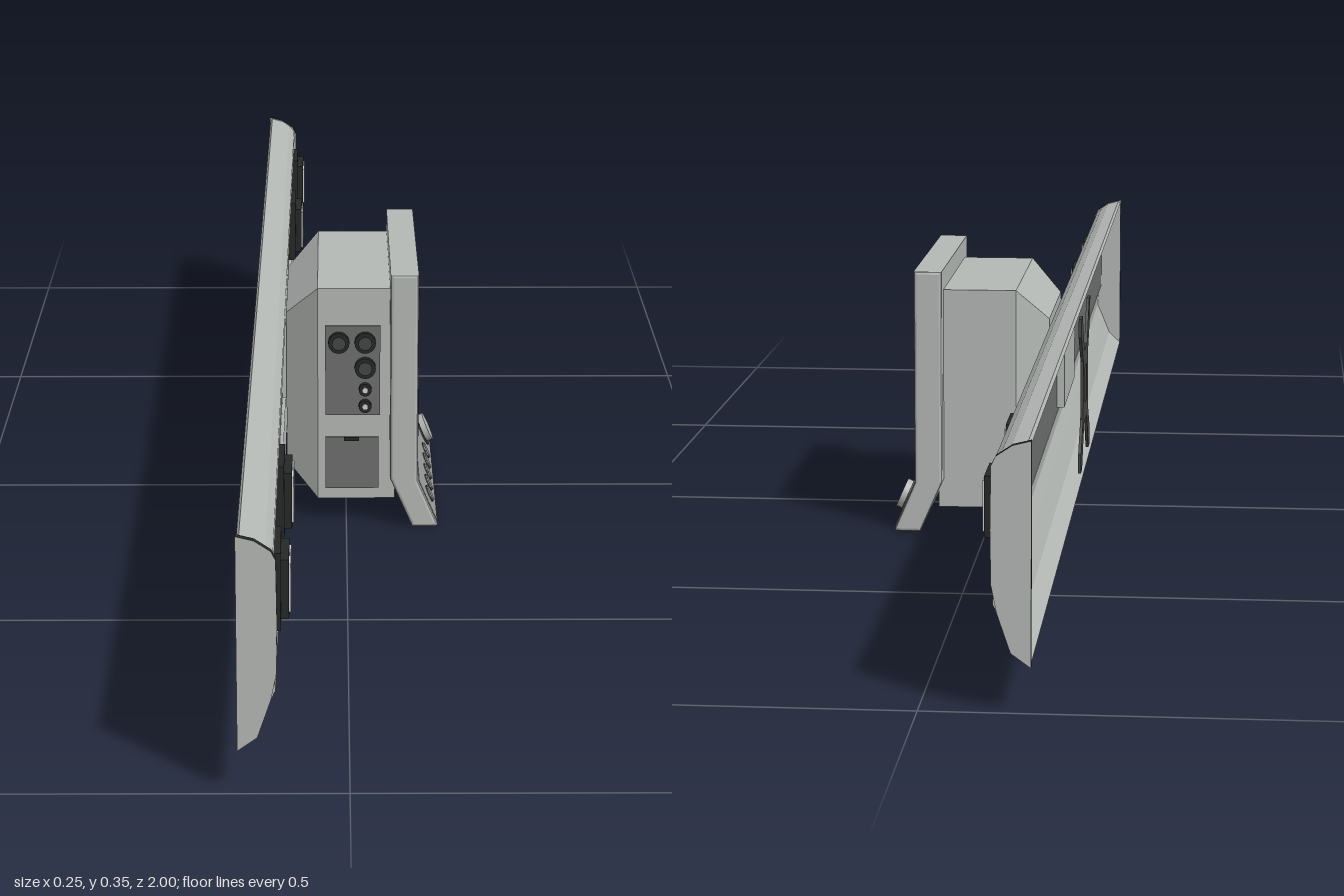
import * as THREE from 'three';

const paint = (name, color) => Object.assign(new THREE.MeshStandardMaterial({ color }), { name });

export function createModel() {
  const light = paint('light grey', 0xb4b8b5);
  const mid = paint('control panel grey', 0x989b99);
  const dark = paint('channel grey', 0x6e6f6f);
  const black = paint('black plastic', 0x262727);
  const charcoal = paint('charcoal metal', 0x444545);
  const glass = paint('screen glass', 0x202222);
  const pale = paint('pale grey', 0xd0d3d1);

  const model = new THREE.Group();
  model.name = 'railMountedMonitor';
  const group = (name, parent = model) => {
    const g = new THREE.Group();
    g.name = name;
    parent.add(g);
    return g;
  };
  const add = (parent, name, geometry, material) => {
    const m = new THREE.Mesh(geometry, material);
    m.name = name;
    parent.add(m);
    return m;
  };
  // Box given by its limits on each axis
  const box = (parent, name, [x0, x1], [y0, y1], [z0, z1], mat) => {
    const m = add(parent, name, new THREE.BoxGeometry(x1 - x0, y1 - y0, z1 - z0), mat);
    m.position.set((x0 + x1) / 2, (y0 + y1) / 2, (z0 + z1) / 2);
    return m;
  };
  const shapeOf = (pts) => new THREE.Shape(pts.map(([x, y]) => new THREE.Vector2(x, y)));
  // Profile in x and y swept from z0 to z1
  const sweep = (parent, name, pts, z0, z1, mat, bevel = 0) => {
    const g = new THREE.ExtrudeGeometry(shapeOf(pts), {
      depth: z1 - z0 - 2 * bevel, bevelEnabled: bevel > 0, bevelSize: bevel,
      bevelThickness: bevel, bevelOffset: -bevel, bevelSegments: 2,
    });
    g.translate(0, 0, z0 + bevel);
    return add(parent, name, g, mat);
  };
  // Thin sheet: the front line, then the same line moved inward
  const sheet = (parent, name, pts, dx, dy, mat) =>
    sweep(parent, name, [...pts, ...pts.map(([x, y]) => [x + dx, y + dy]).reverse()], -0.992, 0.992, mat);

  // Wall rail, open at the back
  const rail = group('wallRail');
  sheet(rail, 'railTopLip', [[-0.118, 0.295], [-0.1, 0.29], [-0.09, 0.283], [-0.082, 0.274], [-0.081, 0.268]], -0.003, -0.004, light);
  box(rail, 'railChannel', [-0.09, -0.086], [0.15, 0.274], [-0.992, 0.992], dark);
  sheet(rail, 'railLedge', [[-0.087, 0.154], [-0.082, 0.146], [-0.08, 0.116]], -0.004, -0.001, light);
  sheet(rail, 'railUnderside', [[-0.08, 0.118], [-0.088, 0.1], [-0.1, 0.07], [-0.118, 0.053]], -0.004, 0.002, light);

  // End caps with a dark rim
  const capOutline = [[-0.122, 0.297], [-0.102, 0.292], [-0.084, 0.28], [-0.079, 0.27], [-0.078, 0.2],
    [-0.079, 0.14], [-0.085, 0.11], [-0.1, 0.066], [-0.122, 0.05]];
  for (const s of [-1, 1]) {
    sweep(rail, 'endCap', capOutline, s > 0 ? 0.992 : -1, s > 0 ? 1 : -0.992, [light, black]);
  }

  // Twin-window sockets along the channel
  for (const z of [0.897, 0.615, -0.62, -0.9]) {
    const socket = group('railSocket', rail);
    socket.position.set(0, 0.21, z);
    box(socket, 'socketPlate', [-0.087, -0.075], [-0.045, 0.045], [-0.042, 0.042], black);
    box(socket, 'socketFace', [-0.075, -0.066], [-0.034, 0.034], [-0.034, 0.034], black);
    for (const s of [-1, 1]) {
      box(socket, 'socketWindow', [-0.067, -0.064], [-0.028, 0.028], [s * 0.017 - 0.013, s * 0.017 + 0.013], pale);
    }
  }

  // Mounting bracket behind the rail: a cross plate with a square hole
  const mount = group('mount');
  const quarter = [[0.03, 0.05], [0.075, 0.105], [0.1, 0.105], [0.1, 0.08], [0.055, 0.04]];
  const outline = [
    ...quarter,
    ...quarter.map(([a, b]) => [a, -b]).reverse(),
    ...quarter.map(([a, b]) => [-a, -b]),
    ...quarter.map(([a, b]) => [-a, b]).reverse(),
  ];
  const cross = shapeOf(outline);
  cross.holes.push(shapeOf([[-0.02, -0.025], [0.02, -0.025], [0.02, 0.025], [-0.02, 0.025]]));
  const bracket = add(mount, 'mountBracket',
    new THREE.ExtrudeGeometry(cross, { depth: 0.004, bevelEnabled: false }), charcoal);
  bracket.rotation.y = Math.PI / 2;
  bracket.position.set(-0.122, 0.173, -0.01);
  box(mount, 'mountPlate', [-0.1, -0.079], [0.16, 0.268], [-0.12, 0.1], light);

  // Housing: straight box with a tapered back
  const monitor = group('monitor');
  box(monitor, 'housing', [-0.038, 0.065], [0.03, 0.323], [-0.158, 0.138], light);
  const taper = new THREE.BoxGeometry(0.042, 0.293, 0.296);
  const p = taper.attributes.position;
  for (let i = 0; i < p.count; i++) {
    if (p.getX(i) < 0) p.setXYZ(i, p.getX(i), p.getY(i) * 0.71, p.getZ(i) * 0.77);
  }
  taper.computeVertexNormals();
  add(monitor, 'housingBack', taper, light).position.set(-0.059, 0.1765, -0.01);

  // Bezel with an outward sloping chin, and the screen
  sweep(monitor, 'bezel', [[0.058, 0.35], [0.095, 0.35], [0.095, 0.066], [0.122, 0.003], [0.121, 0],
    [0.088, 0], [0.058, 0.068]], -0.18, 0.17, light, 0.004);
  box(monitor, 'screenSurround', [0.093, 0.0955], [0.103, 0.324], [-0.151, 0.134], charcoal);
  box(monitor, 'screen', [0.093, 0.0965], [0.107, 0.32], [-0.147, 0.13], glass);

  // Control strip on the chin
  const controls = group('controls', monitor);
  controls.position.set(0.1085, 0.0345, -0.005);
  controls.rotation.z = 0.41;
  box(controls, 'controlStrip', [-0.002, 0.001], [-0.031, 0.03], [-0.168, 0.168], mid);
  const disc = (parent, name, axis, r, h, x, y, z, mat) => {
    const g = new THREE.CylinderGeometry(r, r, h, 24);
    if (axis === 'x') g.rotateZ(-Math.PI / 2);
    else g.rotateX(Math.PI / 2);
    add(parent, name, g, mat).position.set(x, y, z);
  };
  for (let i = 0; i < 5; i++) {
    const z = 0.125 - i * 0.045;
    disc(controls, 'buttonRing', 'x', 0.012, 0.003, 0.001, -0.006, z, charcoal);
    disc(controls, 'button', 'x', 0.0105, 0.006, 0.001, -0.006, z, mid);
  }
  disc(controls, 'knobRing', 'x', 0.025, 0.004, 0.001, 0.004, -0.125, charcoal);
  disc(controls, 'knob', 'x', 0.02, 0.014, 0.004, 0.004, -0.125, light);

  // Connector panel and lower door on the side
  const side = group('connectorSide', monitor);
  box(side, 'connectorPanel', [-0.028, 0.045], [0.148, 0.272], [0.134, 0.14], dark);
  box(side, 'sideDoor', [-0.028, 0.043], [0.045, 0.117], [0.134, 0.14], dark);
  box(side, 'doorCatch', [-0.003, 0.017], [0.112, 0.117], [0.136, 0.142], black);
  for (const [x, y] of [[-0.01, 0.25], [0.025, 0.25], [0.025, 0.215]]) {
    disc(side, 'connectorRing', 'z', 0.014, 0.01, x, y, 0.143, black);
    disc(side, 'connectorCore', 'z', 0.009, 0.004, x, y, 0.148, charcoal);
  }
  for (const y of [0.185, 0.162]) {
    disc(side, 'jackRing', 'z', 0.0085, 0.01, 0.025, y, 0.143, black);
    disc(side, 'jackTip', 'z', 0.004, 0.004, 0.025, y, 0.148, pale);
  }
  return model;
}
